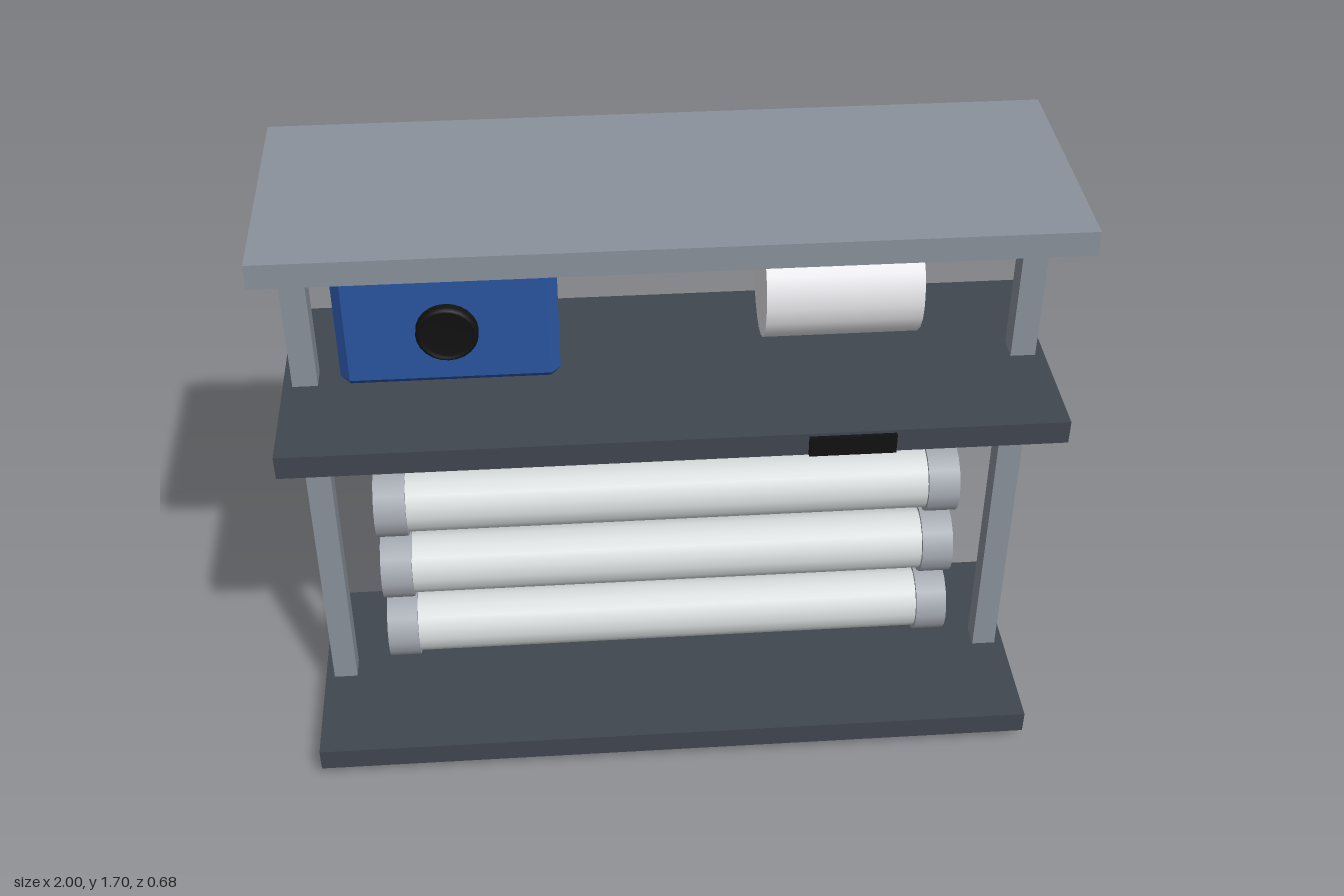
import * as THREE from 'three';
import { ConvexGeometry } from 'three/addons/geometries/ConvexGeometry.js';

const CZ = -0.007; // depth centre of the frame

function material(color) {
  const m = new THREE.MeshStandardMaterial();
  m.color.setHex(color);
  return m;
}

// Box with every edge cut at 45 degrees
function chamferedBox(w, h, d, c) {
  const points = [];
  for (const x of [-1, 1]) for (const y of [-1, 1]) for (const z of [-1, 1]) {
    for (let axis = 0; axis < 3; axis++) {
      const inset = [c, c, c];
      inset[axis] = 0;
      points.push(new THREE.Vector3(
        x * (w / 2 - inset[0]), y * (h / 2 - inset[1]), z * (d / 2 - inset[2])));
    }
  }
  return new ConvexGeometry(points);
}

// Cylinder lying along x
function rod(radius, length, sides) {
  return new THREE.CylinderGeometry(radius, radius, length, sides).rotateZ(Math.PI / 2);
}

export function createModel() {
  const model = new THREE.Group();
  model.name = 'equipmentRack';

  const steel = material(0x8a929c);
  const dark = material(0x414750);
  const white = material(0xe4e4e8);
  const tubeGrey = material(0xd5dadb);
  const capGrey = material(0xa3a8b0);
  const blue = material(0x2a559f);
  const black = material(0x111111);

  function add(name, geometry, mat, x, y, z = CZ, parent = model) {
    const mesh = new THREE.Mesh(geometry, mat);
    mesh.name = name;
    mesh.position.set(x, y, z);
    parent.add(mesh);
    return mesh;
  }

  // Shelves
  const plate = new THREE.BoxGeometry(2, 0.065, 0.665);
  add('bottomShelf', plate, dark, 0, 0.069);
  add('middleShelf', plate, dark, 0, 1.113);
  add('topShelf', plate, steel, 0, 1.672);

  // Posts, with short feet below the bottom shelf
  const post = new THREE.BoxGeometry(0.066, 1.66, 0.066);
  add('leftPost', post, steel, 0.942, 0.83);
  add('rightPost', post, steel, -0.942, 0.83);

  // Stacked tubes with end caps
  const tubeGeo = rod(0.088, 1.5, 16);
  const capGeo = rod(0.099, 0.086, 16);
  for (let i = 0; i < 4; i++) {
    const tube = new THREE.Group();
    tube.name = 'cappedTube' + (i + 1);
    tube.position.set(0, 0.281 + i * 0.2227, CZ);
    add('tube', tubeGeo, tubeGrey, 0, 0, 0, tube);
    for (const s of [-1, 1]) add('endCap', capGeo, capGrey, s * 0.757, 0, 0, tube);
    model.add(tube);
  }

  // Chamfered blue housing with a round port
  add('housing', chamferedBox(0.553, 0.33, 0.33, 0.024), blue, -0.557, 1.391);
  const profile = [[0.078, 0], [0.078, 0.018], [0.073, 0.025], [0.066, 0.025], [0.061, 0.02], [0, 0.02]]
    .map(([r, y]) => new THREE.Vector2(r, y));
  const port = new THREE.LatheGeometry(profile, 24).rotateX(Math.PI / 2);
  add('roundPort', port, black, -0.557, 1.391, 0.158).material.side = THREE.DoubleSide;

  // White drum
  add('drum', rod(0.143, 0.4, 20), white, 0.44, 1.391);

  // Small plate in front of the middle shelf
  add('frontPlate', new THREE.BoxGeometry(0.222, 0.055, 0.011), black, 0.444, 1.113, 0.335);

  return model;
}
